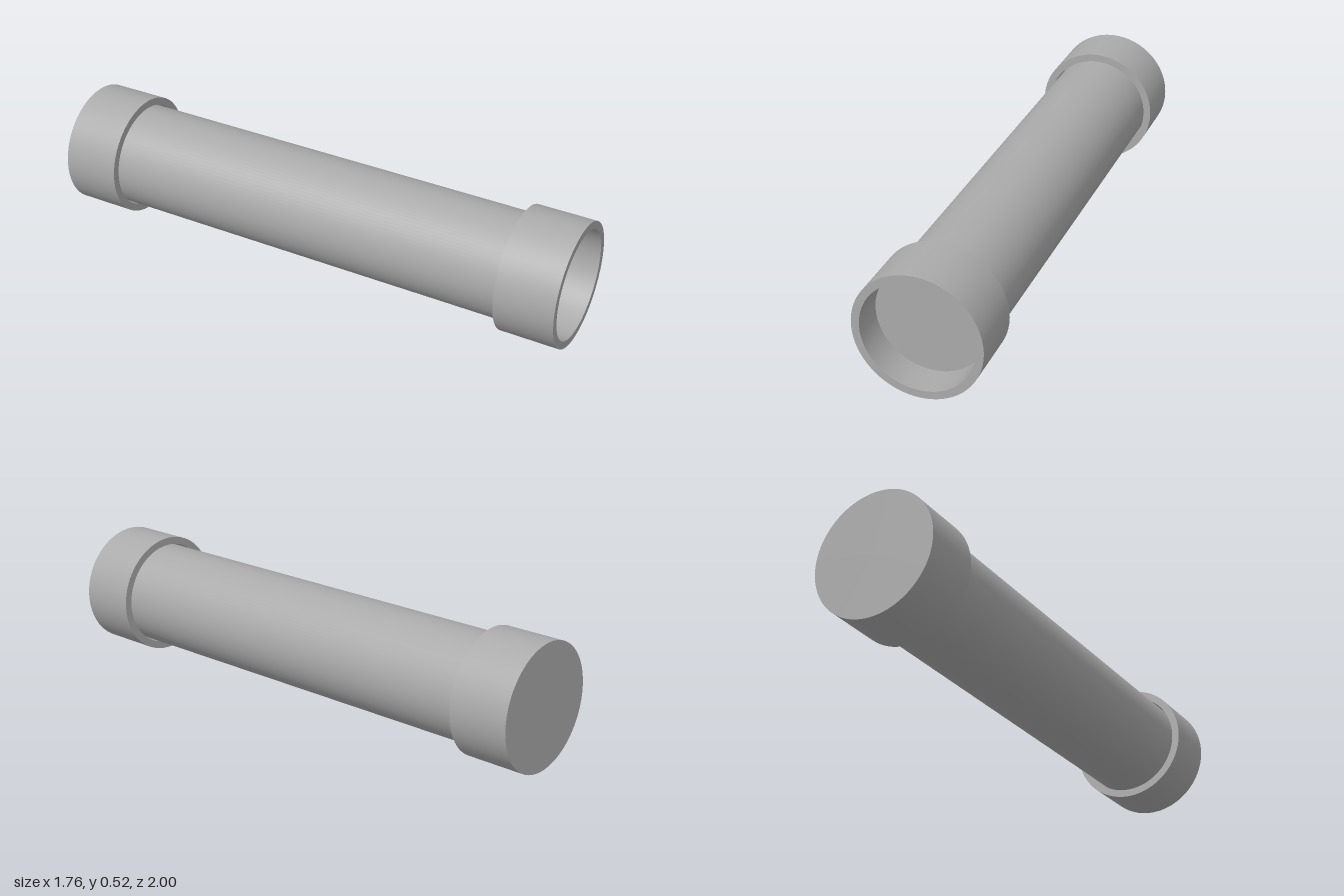
import * as THREE from 'three';
import { toCreasedNormals } from 'three/addons/utils/BufferGeometryUtils.js';

const CAP_R = 0.248, BORE_R = 0.217, TUBE_R = 0.212;
const CAP_LEN = 0.238, RECESS = 0.12;

export function createModel() {
  const grey = new THREE.MeshStandardMaterial({ color: 0xaaaaaa });
  grey.name = 'grey';

  // The pipe is built along local y, from the closed back end to the open front end
  const back = new THREE.Vector3(-0.688, 0.277, -0.843);
  const front = new THREE.Vector3(0.688, 0.255, 0.843);
  const length = back.distanceTo(front);

  const pipe = new THREE.Group();
  pipe.name = 'pipe';
  pipe.position.copy(back);
  pipe.quaternion.setFromUnitVectors(
    new THREE.Vector3(0, 1, 0), front.clone().sub(back).normalize());

  const add = (name, geometry, y) => {
    const mesh = new THREE.Mesh(geometry, grey);
    mesh.name = name;
    mesh.position.y = y;
    pipe.add(mesh);
  };
  const lathe = (points) => toCreasedNormals(
    new THREE.LatheGeometry(points.map(([r, y]) => new THREE.Vector2(r, y)), 96), 0.6);

  // Long tube, seated inside both end fittings
  const tubeLength = length - 2 * RECESS;
  add('tube', new THREE.CylinderGeometry(TUBE_R, TUBE_R, tubeLength, 96), RECESS + tubeLength / 2);

  // Closed cap with a socket for the tube
  add('closedCap', lathe([
    [0, 0], [CAP_R, 0], [CAP_R, CAP_LEN], [BORE_R, CAP_LEN], [BORE_R, RECESS], [0, RECESS],
  ]), 0);

  // Open collar, reaching past the end of the tube
  add('openCollar', lathe([
    [BORE_R, 0], [CAP_R, 0], [CAP_R, CAP_LEN], [BORE_R, CAP_LEN], [BORE_R, 0],
  ]), length - CAP_LEN);

  const model = new THREE.Group();
  model.name = 'cappedPipe';
  model.add(pipe);
  return model;
}
